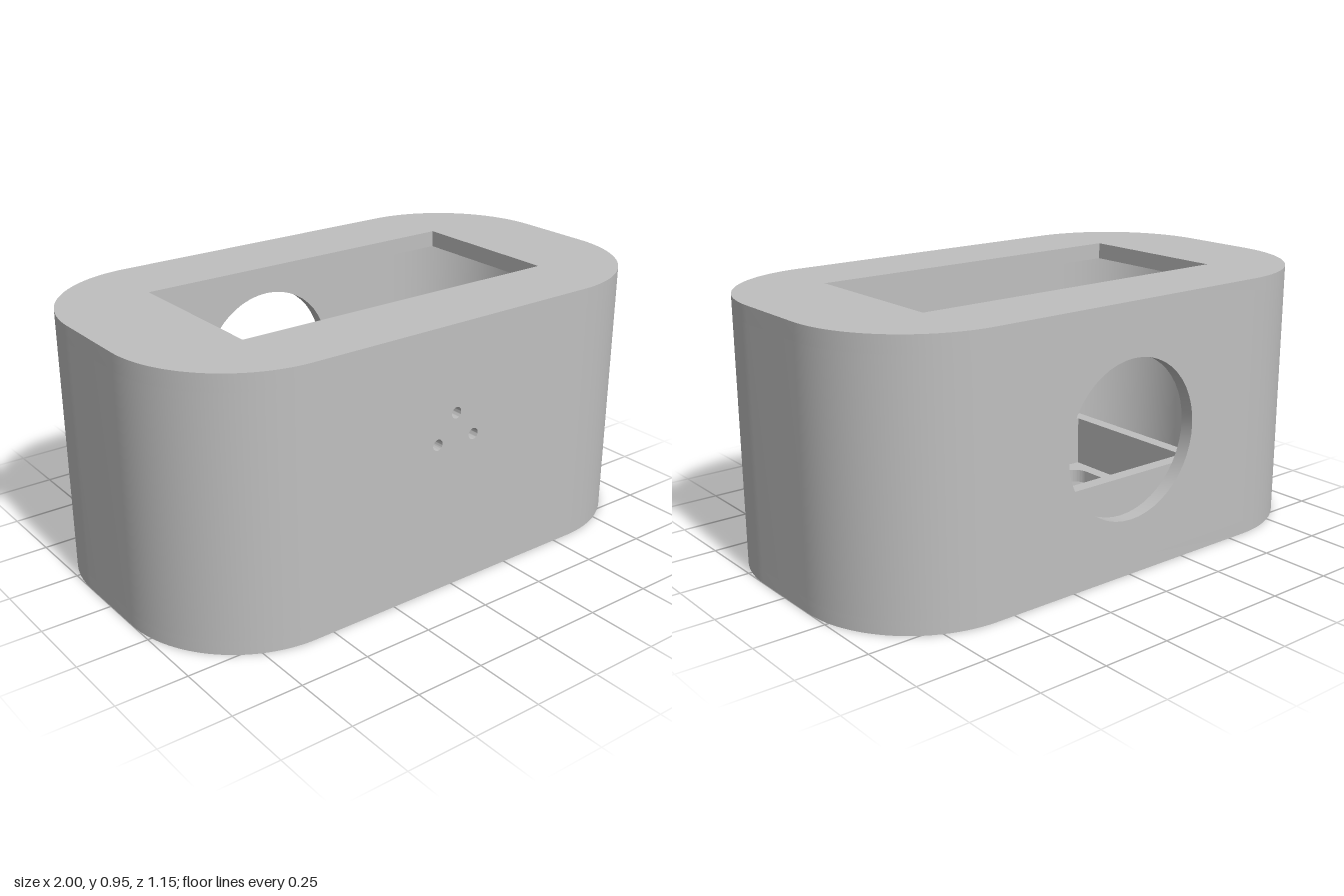
import * as THREE from 'three';
import { toCreasedNormals } from 'three/addons/utils/BufferGeometryUtils.js';

const HX = 1, HZ = 0.575, R = 0.43, HEIGHT = 0.95;
const WALL = 0.05, FLOOR = 0.05, LID = 0.06;
const STRAIGHT_X = HX - R, STRAIGHT_Z = HZ - R;

// Rounded rectangle given by half sizes; r = 0 gives square corners
function roundedRect(target, hx, hz, r) {
  if (r === 0) {
    target.moveTo(-hx, -hz).lineTo(hx, -hz).lineTo(hx, hz).lineTo(-hx, hz).closePath();
    return target;
  }
  target.moveTo(hx, -hz + r);
  target.absarc(hx - r, hz - r, r, 0, Math.PI / 2);
  target.absarc(-hx + r, hz - r, r, Math.PI / 2, Math.PI);
  target.absarc(-hx + r, -hz + r, r, Math.PI, Math.PI * 1.5);
  target.absarc(hx - r, -hz + r, r, Math.PI * 1.5, Math.PI * 2);
  return target;
}

function extrude(shape, depth) {
  return new THREE.ExtrudeGeometry(shape, { depth, bevelEnabled: false, curveSegments: 24 });
}

// Flat ring lying in plan, raised from y0 to y1
function ring(outer, inner, y0, y1) {
  const shape = roundedRect(new THREE.Shape(), ...outer);
  shape.holes.push(roundedRect(new THREE.Path(), ...inner));
  return extrude(shape, y1 - y0).rotateX(-Math.PI / 2).translate(0, y0, 0);
}

export function createModel() {
  const model = new THREE.Group();
  model.name = 'housing';
  const grey = new THREE.MeshStandardMaterial({ color: 0xbfbfbf });
  grey.name = 'grey';

  function add(name, geometry) {
    const mesh = new THREE.Mesh(toCreasedNormals(geometry, 0.5), grey);
    mesh.name = name;
    model.add(mesh);
    return mesh;
  }

  const wallTop = HEIGHT - LID;

  // Floor with a rounded window, lid with a square-cornered opening
  add('floor', ring([HX, HZ, R], [0.48, 0.24, 0.06], 0, FLOOR));
  add('lid', ring([HX, HZ, R], [0.63, 0.29, 0], wallTop, HEIGHT));

  // Raised frame around the floor window
  add('innerFrame', ring([0.58, 0.34, 0], [0.53, 0.29, 0], FLOOR, 0.24));

  // Straight long walls with round holes
  function longWall(name, z, holes) {
    const s = new THREE.Shape();
    s.moveTo(-STRAIGHT_X, FLOOR).lineTo(STRAIGHT_X, FLOOR);
    s.lineTo(STRAIGHT_X, wallTop).lineTo(-STRAIGHT_X, wallTop).closePath();
    for (const [x, y, r] of holes) {
      s.holes.push(new THREE.Path().absarc(x, y, r, 0, Math.PI * 2, true));
    }
    add(name, extrude(s, WALL).translate(0, 0, z));
  }
  longWall('frontWall', HZ - WALL, [[0, 0.64, 0.02], [-0.077, 0.545, 0.02], [0.077, 0.545, 0.02]]);
  longWall('backWall', -HZ, [[0, 0.48, 0.28]]);

  // Curved end walls
  for (const [name, angle] of [['leftEndWall', 0], ['rightEndWall', Math.PI]]) {
    const s = new THREE.Shape();
    const q = Math.PI / 2, r = R - WALL;
    s.moveTo(STRAIGHT_X, -HZ);
    s.absarc(STRAIGHT_X, -STRAIGHT_Z, R, -q, 0);
    s.absarc(STRAIGHT_X, STRAIGHT_Z, R, 0, q);
    s.lineTo(STRAIGHT_X, HZ - WALL);
    s.absarc(STRAIGHT_X, STRAIGHT_Z, r, q, 0, true);
    s.absarc(STRAIGHT_X, -STRAIGHT_Z, r, 0, -q, true);
    s.closePath();
    const g = extrude(s, wallTop - FLOOR).rotateX(-Math.PI / 2).translate(0, FLOOR, 0);
    add(name, g.rotateY(angle));
  }
  return model;
}
